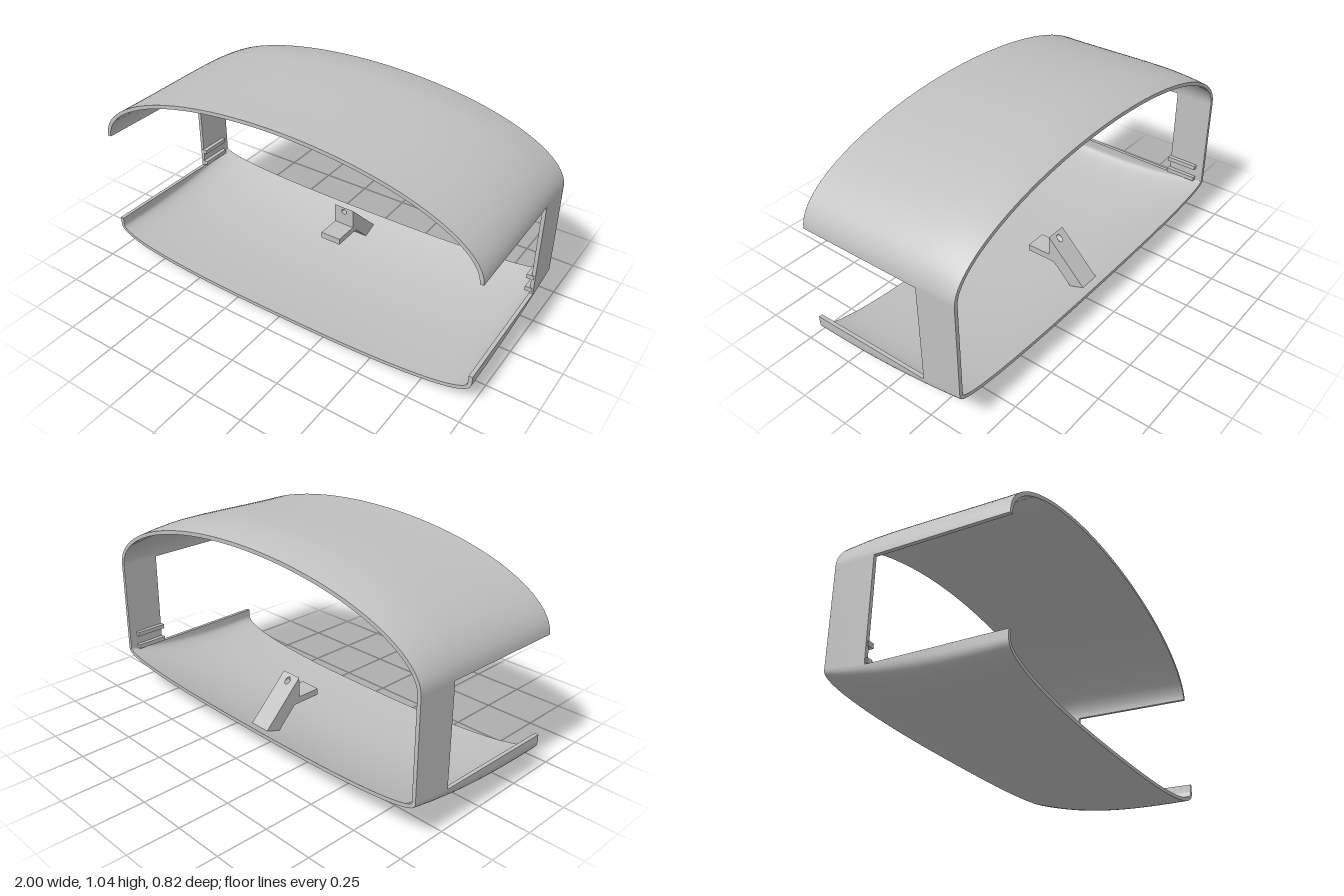
import * as THREE from 'three';

const Z_BACK = -0.41, Z_FRONT = 0.41, Z_OPEN = -0.215; // side openings run from Z_OPEN to the front
const SILL = 0.18, EAVE = 0.665, THICK = 0.018;
const TOP_SEG = 56, BOT_SEG = 56;

// Outline parameters that vary along the depth
const halfWidth = z => 1 - 0.013 * (Z_FRONT - z) / 0.82;
const roofY = z => z < -0.18
  ? 1.038 - 0.036 * ((z + 0.18) / 0.23) ** 2
  : 1.03 + 0.008 * Math.cos(Math.PI * (z + 0.18) / 0.59);
const floorY = z => z < 0.15
  ? 0.112 * ((0.15 - z) / 0.56) ** 2.2
  : 0.01 * ((z - 0.15) / 0.26) ** 2;
const cornerY = z => 0.145 + 0.055 * ((Z_FRONT - z) / 0.82) ** 2;

// Closed outline, anticlockwise seen from the front, starting at the left eave
function section(z) {
  const w = halfWidth(z), c = cornerY(z), sill = Math.max(SILL, c + 0.004), pts = [];
  for (let i = 0; i <= TOP_SEG; i++) {
    const a = Math.PI * i / TOP_SEG;
    pts.push([w * Math.cos(a), EAVE + (roofY(z) - EAVE) * Math.sin(a)]);
  }
  pts.push([-w, sill]);
  for (let i = 0; i <= BOT_SEG; i++) {
    const a = Math.PI * i / BOT_SEG, cs = Math.cos(a);
    pts.push([-w * Math.sign(cs) * Math.abs(cs) ** 0.8,
      c - (c - floorY(z)) * Math.abs(Math.sin(a)) ** 0.8]);
  }
  pts.push([w, sill]);
  return pts;
}

// Thin shell: outer and inner skins, with rim faces wherever a cell has no neighbour
function shellGeometry() {
  const zs = [];
  for (let i = 0; i < 10; i++) zs.push(Z_BACK + (Z_OPEN - Z_BACK) * i / 10);
  const firstOpen = zs.length;
  for (let i = 0; i <= 18; i++) zs.push(Z_OPEN + (Z_FRONT - Z_OPEN) * i / 18);
  const M = TOP_SEG + BOT_SEG + 4, rows = zs.length;
  const outer = [], inner = [], index = [];
  for (const z of zs) {
    const pts = section(z);
    pts.forEach(([x, y], i) => {
      const p = pts[(i + M - 1) % M], q = pts[(i + 1) % M];
      const tx = q[0] - p[0], ty = q[1] - p[1], l = Math.hypot(tx, ty);
      outer.push(x, y, z);
      inner.push(x - THICK * ty / l, y + THICK * tx / l, z);
    });
  }
  const pos = [...outer, ...inner], off = rows * M;
  const solid = (i, j) => j >= 0 && j < rows - 1 &&
    !(j >= firstOpen && (i === TOP_SEG || i === M - 1));
  const quad = (a, b, c, d) => index.push(a, b, c, a, c, d);
  const rim = (a, b) => {
    const n = pos.length / 3;
    for (const v of [b, a, a + off, b + off]) pos.push(pos[v * 3], pos[v * 3 + 1], pos[v * 3 + 2]);
    quad(n, n + 1, n + 2, n + 3);
  };
  for (let j = 0; j < rows - 1; j++) for (let i = 0; i < M; i++) {
    if (!solid(i, j)) continue;
    const k = (i + 1) % M, a = j * M + i, b = j * M + k, c = b + M, d = a + M;
    quad(a, b, c, d);
    quad(d + off, c + off, b + off, a + off);
    if (!solid(i, j - 1)) rim(a, b);
    if (!solid(k, j)) rim(b, c);
    if (!solid(i, j + 1)) rim(c, d);
    if (!solid((i + M - 1) % M, j)) rim(d, a);
  }
  const g = new THREE.BufferGeometry();
  g.setAttribute('position', new THREE.Float32BufferAttribute(pos, 3));
  g.setIndex(index);
  g.computeVertexNormals();
  return g;
}

// Bracket body: shelf and sloping leg, side profile extruded across the width
function bracketBody(halfW) {
  const profile = [[0.03, 0.178], [0.18, 0.178], [0.282, 0.076], [0.36, 0.1], [0.25, 0.21], [0.03, 0.21]];
  const shape = new THREE.Shape(profile.map(p => new THREE.Vector2(...p)));
  const g = new THREE.ExtrudeGeometry(shape, { depth: 2 * halfW, bevelEnabled: false });
  return g.translate(0, 0, -halfW).rotateY(Math.PI / 2);
}

// Bracket head: drilled plate whose back face is sheared to a 45 degree slope
function bracketHead(halfW) {
  const shape = new THREE.Shape();
  shape.moveTo(-halfW, 0.21).lineTo(halfW, 0.21).lineTo(halfW, 0.31).lineTo(-halfW, 0.31).closePath();
  const hole = new THREE.Path();
  hole.absarc(0, 0.285, 0.014, 0, Math.PI * 2, true);
  shape.holes.push(hole);
  const g = new THREE.ExtrudeGeometry(shape, { depth: 1, bevelEnabled: false, curveSegments: 24 });
  const p = g.attributes.position;
  for (let i = 0; i < p.count; i++) p.setZ(i, p.getZ(i) > 0.5 ? -0.15 : p.getY(i) - 0.46);
  g.computeVertexNormals();
  return g;
}

export function createModel() {
  const model = new THREE.Group();
  const grey = new THREE.MeshStandardMaterial({ color: 0xc0c0c0 });
  grey.name = 'plain grey';
  const add = (name, geometry, parent = model) => {
    const mesh = new THREE.Mesh(geometry, grey);
    mesh.name = name;
    parent.add(mesh);
    return mesh;
  };

  add('shell', shellGeometry());

  const bracket = new THREE.Group();
  bracket.name = 'bracket';
  model.add(bracket);
  add('bracketBody', bracketBody(0.053), bracket);
  add('bracketHead', bracketHead(0.053), bracket);

  // Pairs of guide rails inside each side post
  for (const side of [1, -1]) for (const [name, y] of [['lowerRail', 0.202], ['upperRail', 0.273]]) {
    add((side > 0 ? 'left ' : 'right ') + name, new THREE.BoxGeometry(0.033, 0.022, 0.16))
      .position.set(side * 0.966, y, -0.29);
  }
  return model;
}
